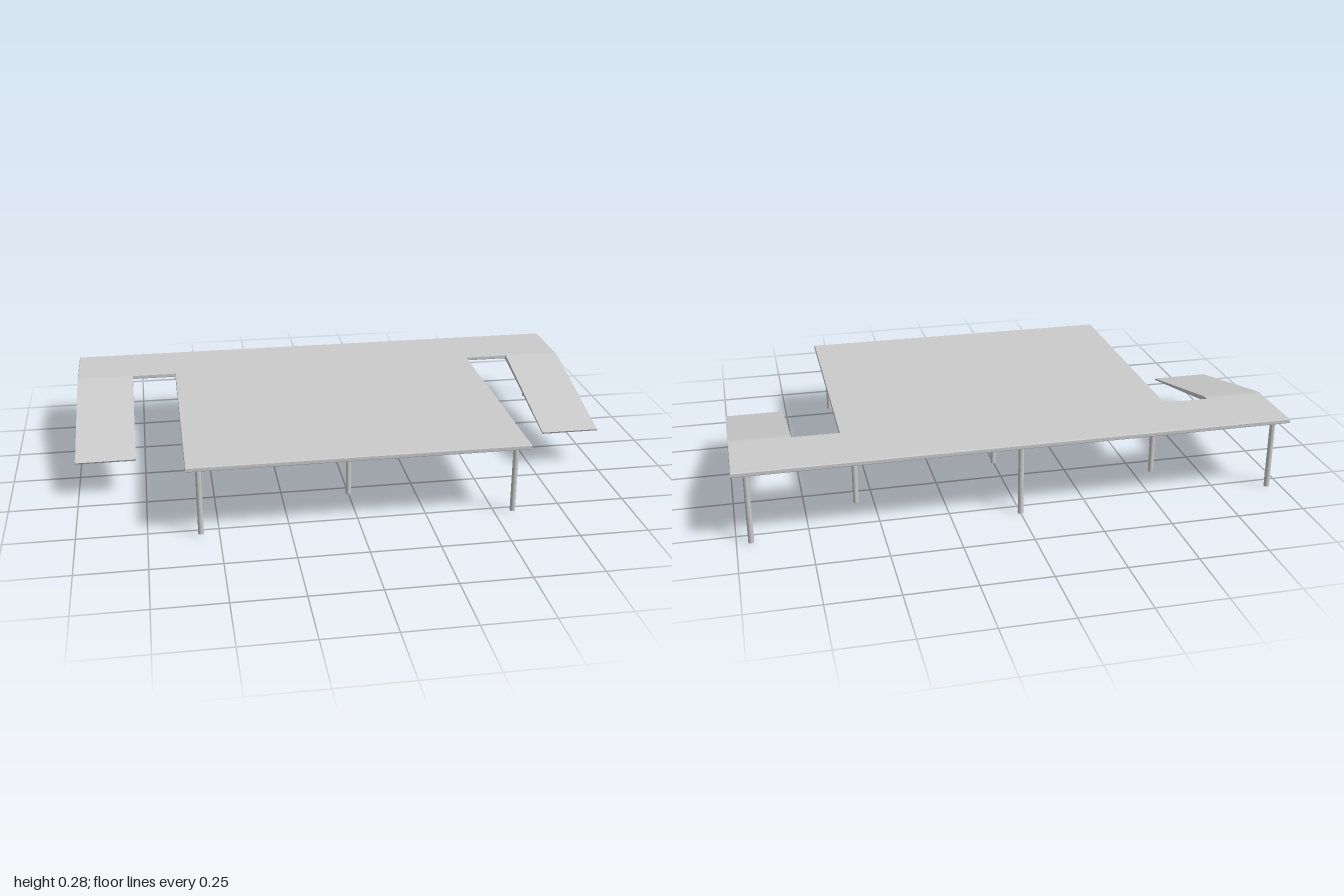
import * as THREE from 'three';

export function createModel() {
  const model = new THREE.Group();
  model.name = 'platformWithRamps';
  const material = new THREE.MeshStandardMaterial({ color: 0xcccccc });

  const add = (name, geometry, x = 0, y = 0, z = 0) => {
    const mesh = new THREE.Mesh(geometry, material);
    mesh.name = name;
    mesh.position.set(x, y, z);
    model.add(mesh);
  };
  const shapeFrom = (points) => new THREE.Shape(points.map(([a, b]) => new THREE.Vector2(a, b)));

  const bottom = 0.265, top = 0.282;

  // Deck: wide back strip, central platform reaching forward, slightly eased edges
  const half = [[0.61, 0.58], [0.61, -0.335], [0.78, -0.335], [1, -0.335], [1, -0.585]];
  const outline = [...half, ...half.map(([x, z]) => [-x, z]).reverse()].map(([x, z]) => [x, -z]);
  const bevel = 0.003;
  const deck = new THREE.ExtrudeGeometry(shapeFrom(outline), {
    depth: top - bottom - 2 * bevel, bevelThickness: bevel, bevelSize: bevel,
    bevelOffset: -bevel, bevelSegments: 2,
  });
  deck.rotateX(-Math.PI / 2);
  add('deck', deck, 0, bottom + bevel, 0);

  // Ramps: tapering side profile (z, y) swept across the width
  const profile = [
    [-0.345, bottom], [-0.325, bottom], [0.2, 0.148], [0.203, 0.154],
    [-0.27, 0.27], [-0.3, 0.277], [-0.33, top], [-0.345, top],
  ];
  const width = 0.22;
  const ramp = new THREE.ExtrudeGeometry(shapeFrom(profile), { depth: width, bevelEnabled: false });
  ramp.rotateY(-Math.PI / 2);
  add('leftRamp', ramp, 1);
  add('rightRamp', ramp, -1 + width);

  // Posts: centre row, back corners and platform sides
  const addPost = (name, x, z, foot) => {
    const height = bottom + 0.002 - foot;
    add(name, new THREE.CylinderGeometry(0.01, 0.01, height, 16), x, foot + height / 2, z);
  };
  for (const z of [-0.55, -0.125, 0.298]) addPost('centrePost', 0, z, 0);
  for (const side of [1, -1]) {
    const label = side > 0 ? 'left' : 'right';
    addPost(label + 'BackCornerPost', side * 0.95, -0.55, 0);
    addPost(label + 'InnerPost', side * 0.565, -0.35, 0.008);
    addPost(label + 'FrontPost', side * 0.565, 0.54, 0.008);
  }
  return model;
}
